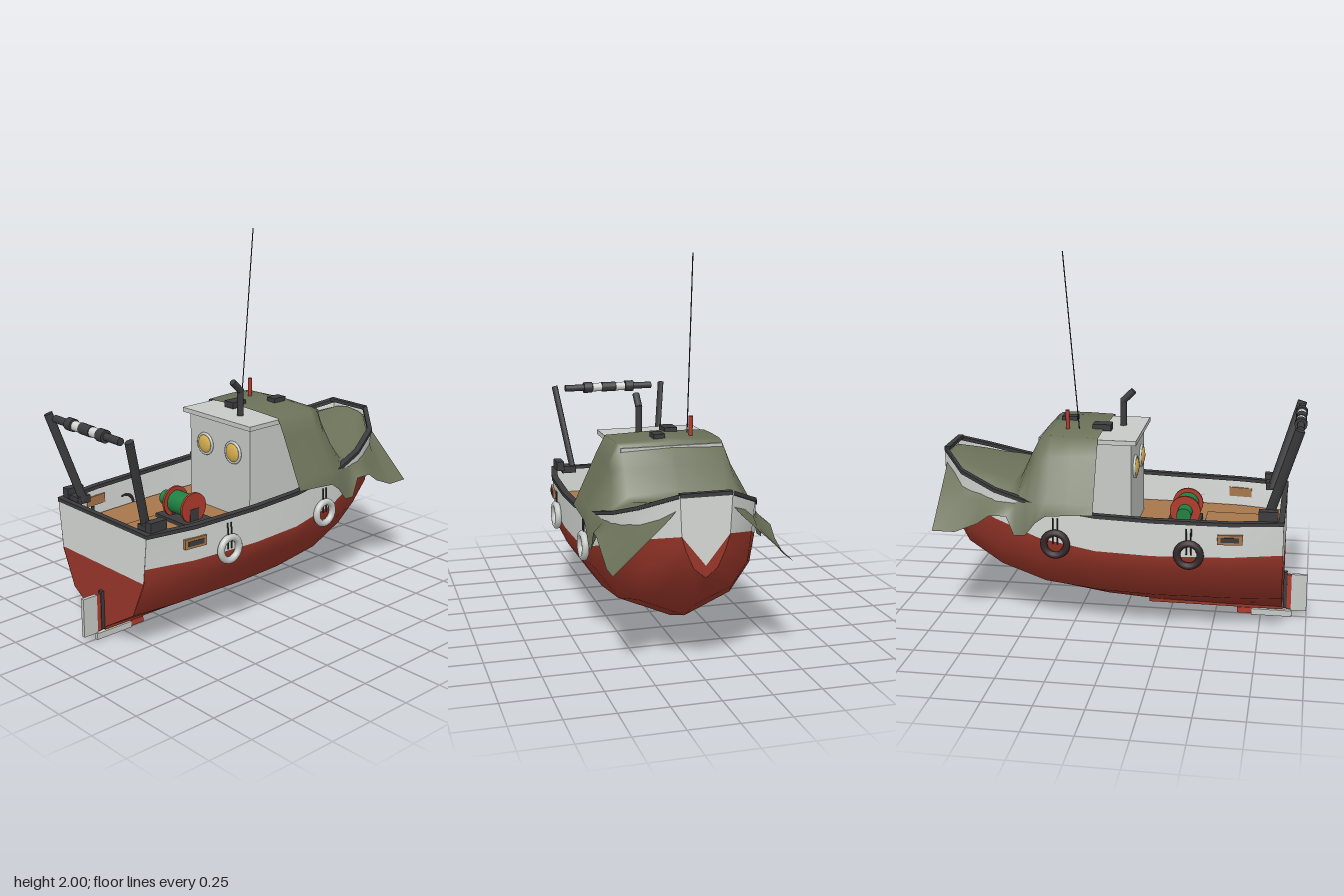
import * as THREE from 'three';
import { toCreasedNormals } from 'three/addons/utils/BufferGeometryUtils.js';

const mat = (name, color, side = THREE.FrontSide) => {
  const m = new THREE.MeshStandardMaterial({ color, side });
  m.name = name;
  return m;
};

// Stations from stern to bow: z, then x,y of sheer, waterline, chine, bilge, then keel y
const STATIONS = [
  [0.87, 0.37, 0.66, 0.35, 0.48, 0.34, 0.39, 0.25, 0.2, 0.05],
  [0.6, 0.42, 0.66, 0.412, 0.475, 0.4, 0.385, 0.28, 0.2, 0.05],
  [0.2, 0.44, 0.665, 0.435, 0.47, 0.425, 0.385, 0.295, 0.2, 0.055],
  [-0.1, 0.44, 0.675, 0.435, 0.48, 0.42, 0.39, 0.295, 0.21, 0.075],
  [-0.4, 0.425, 0.71, 0.42, 0.53, 0.4, 0.41, 0.28, 0.24, 0.12],
  [-0.65, 0.375, 0.77, 0.37, 0.61, 0.345, 0.46, 0.24, 0.31, 0.205],
  [-0.85, 0.295, 0.84, 0.28, 0.68, 0.26, 0.53, 0.18, 0.41, 0.335],
  [-0.99, 0.13, 0.92, 0.12, 0.72, 0.1, 0.65, 0.06, 0.56, 0.51],
];

// Canvas sections: z, then x,y from the centre line out to the hanging edge
const CANVAS = [
  [-0.11, 0, 1.055, 0.275, 1.045, 0.32, 0.96, 0.43, 0.72, 0.45, 0.68],
  [-0.25, 0, 1.065, 0.275, 1.05, 0.32, 0.95, 0.435, 0.73, 0.45, 0.67],
  [-0.36, 0, 1.065, 0.275, 1.05, 0.32, 0.94, 0.435, 0.73, 0.45, 0.66],
  [-0.415, 0, 1.055, 0.27, 1.045, 0.32, 0.92, 0.43, 0.72, 0.45, 0.62],
  [-0.47, 0, 0.95, 0.26, 0.94, 0.33, 0.84, 0.425, 0.71, 0.45, 0.55],
  [-0.53, 0, 0.825, 0.26, 0.81, 0.35, 0.745, 0.41, 0.7, 0.452, 0.55],
  [-0.57, 0, 0.8, 0.25, 0.79, 0.35, 0.74, 0.4, 0.7, 0.448, 0.65],
  [-0.66, 0, 0.815, 0.22, 0.81, 0.34, 0.755, 0.38, 0.7, 0.452, 0.65],
  [-0.73, 0, 0.83, 0.2, 0.82, 0.31, 0.775, 0.355, 0.7, 0.448, 0.6],
  [-0.85, 0, 0.86, 0.16, 0.85, 0.26, 0.815, 0.31, 0.7, 0.45, 0.55],
  [-0.975, 0, 0.895, 0.08, 0.885, 0.12, 0.87, 0.18, 0.8, 0.45, 0.55],
];

// Skin between rows of [x, y, z] points
function loft(rows) {
  const n = rows[0].length, index = [];
  for (let i = 0; i < rows.length - 1; i++)
    for (let j = 0; j < n - 1; j++) {
      const a = i * n + j, c = a + n;
      index.push(a, a + 1, c, a + 1, c + 1, c);
    }
  const g = new THREE.BufferGeometry();
  g.setAttribute('position', new THREE.Float32BufferAttribute(rows.flat(2), 3));
  g.setIndex(index);
  g.computeVertexNormals();
  return g;
}

export function createModel() {
  const boat = new THREE.Group();
  boat.name = 'fishingBoat';
  const D = THREE.DoubleSide;
  const white = mat('hullWhite', 0xd6d9d5, D), red = mat('hullRed', 0x993629, D);
  const dark = mat('darkMetal', 0x3b3b3d), canvasMat = mat('oliveCanvas', 0x6b7259, D);
  const wood = mat('deckWood', 0xa8774c, D), grey = mat('cabinGrey', 0xc6cac6);
  const green = mat('winchGreen', 0x208040), gold = mat('windowGold', 0xd8b050);
  const bright = mat('brightRed', 0xb03a2c), rubber = mat('tyreRubber', 0x33262a);

  const add = (name, geo, m, x = 0, y = 0, z = 0) => {
    const mesh = new THREE.Mesh(geo, m);
    mesh.name = name;
    mesh.position.set(x, y, z);
    boat.add(mesh);
    return mesh;
  };
  const box = (name, m, w, h, d, x, y, z) => add(name, new THREE.BoxGeometry(w, h, d), m, x, y, z);
  const rod = (name, m, a, b, r, sides = 12) => {
    const p = new THREE.Vector3(...a), q = new THREE.Vector3(...b);
    const mesh = add(name, new THREE.CylinderGeometry(r, r, p.distanceTo(q), sides), m);
    mesh.position.copy(p).lerp(q, 0.5);
    mesh.quaternion.setFromUnitVectors(new THREE.Vector3(0, 1, 0), q.sub(p).normalize());
    return mesh;
  };
  // Flat plate from a half outline, mirrored across x = 0
  const plate = (name, half, m, z) => {
    const pts = [...half, ...half.map(([x, y]) => [-x, y]).reverse()];
    return add(name, new THREE.ShapeGeometry(new THREE.Shape(pts.map(p => new THREE.Vector2(...p)))), m, 0, 0, z);
  };

  // Hull: red bottom in one skin, white topsides and dark rail on each side
  add('hullBottom', loft(STATIONS.map(([z, , , wx, wy, cx, cy, bx, by, k]) => [
    [wx, wy, z], [cx, cy, z], [bx, by, z], [0, k, z], [-bx, by, z], [-cx, cy, z], [-wx, wy, z]])), red);
  for (const s of [1, -1]) {
    const side = s > 0 ? 'left' : 'right';
    const rows = f => STATIONS.map(st => {
      const r = f(st).map(([x, y]) => [s * x, y, st[0]]);
      return s > 0 ? r : r.reverse();
    });
    add(side + 'Topside', loft(rows(([, sx, sy, wx, wy]) => [[sx, sy], [wx, wy]])), white);
    add(side + 'Rail', toCreasedNormals(loft(rows(([, x, y]) => [
      [x - 0.03, y + 0.006], [x + 0.006, y + 0.006], [x + 0.006, y - 0.014],
      [x - 0.03, y - 0.014], [x - 0.03, y + 0.006]])), 0.6), dark);
  }
  plate('transomTop', [[0.37, 0.66], [0.34, 0.4]], white, 0.87);
  plate('transomBottom', [[0.34, 0.4], [0.25, 0.2], [0, 0.05]], red, 0.87);
  plate('bowTop', [[0.13, 0.92], [0.12, 0.72], [0, 0.57]], white, -0.99);
  plate('bowBottom', [[0, 0.57], [0.12, 0.72], [0.1, 0.65], [0.06, 0.56], [0, 0.51]], red, -0.99);
  box('sternRail', dark, 0.74, 0.02, 0.03, 0, 0.656, 0.858);
  box('bowRail', dark, 0.26, 0.02, 0.03, 0, 0.916, -0.976);

  // Deck and hatch
  add('deck', loft(STATIONS.slice(0, 5).map(([z, , , w]) => [[-w + 0.012, 0.5, z], [w - 0.012, 0.5, z]])), wood);
  box('hatchFrame', dark, 0.306, 0.012, 0.306, 0.03, 0.502, 0.58);
  box('hatch', wood, 0.296, 0.03, 0.296, 0.03, 0.51, 0.58);

  // Keel, skeg and rudder
  box('keelStrip', red, 0.024, 0.02, 0.74, 0, 0.052, 0.5);
  box('skegFront', bright, 0.024, 0.032, 0.08, 0, 0.024, 0.66);
  box('skeg', grey, 0.024, 0.034, 0.22, 0, 0.017, 0.81);
  box('rudderPost', dark, 0.026, 0.21, 0.02, 0, 0.155, 0.882);
  box('rudderRoot', bright, 0.018, 0.2, 0.025, 0, 0.145, 0.903);
  box('rudder', grey, 0.02, 0.21, 0.085, 0, 0.143, 0.9575);

  // Cabin with round windows
  box('cabin', grey, 0.48, 0.53, 0.47, 0, 0.755, -0.175);
  box('cabinRoof', grey, 0.54, 0.025, 0.52, 0, 1.023, -0.17);
  for (const x of [-0.112, 0.112]) {
    add('windowRim', new THREE.TorusGeometry(0.056, 0.008, 8, 32), grey, x, 0.855, 0.065);
    const glass = add('windowGlass', new THREE.SphereGeometry(0.055, 24, 12), gold, x, 0.855, 0.062);
    glass.scale.z = 0.4;
  }

  // Canvas draped over cabin and foredeck
  add('canvas', loft(CANVAS.map(([z, ...c]) => {
    const half = [0, 1, 2, 3, 4].map(i => [c[2 * i], c[2 * i + 1], z]);
    return [...half.slice(1).reverse().map(([x, y]) => [-x, y, z]), ...half];
  })), canvasMat);

  // Roof fittings
  box('roofBox', dark, 0.06, 0.03, 0.085, 0.048, 1.07, -0.32);
  box('roofBoxFront', dark, 0.07, 0.035, 0.1, -0.07, 1.06, -0.12);
  rod('roofLight', bright, [-0.14, 1.05, -0.298], [-0.14, 1.16, -0.298], 0.011);
  rod('antenna', dark, [-0.14, 1.06, -0.235], [-0.14, 2, -0.315], 0.003, 6);
  rod('exhaustPipe', dark, [0.068, 1.03, -0.03], [0.068, 1.18, -0.03], 0.018);
  rod('exhaustBend', dark, [0.068, 1.17, -0.034], [0.068, 1.23, 0.027], 0.019);

  // Winch on its bed plate
  box('winchBed', dark, 0.26, 0.03, 0.18, 0, 0.515, 0.32);
  rod('winchDrum', green, [-0.055, 0.6, 0.33], [0.085, 0.6, 0.33], 0.062, 24);
  rod('winchHead', green, [-0.145, 0.6, 0.33], [-0.06, 0.6, 0.33], 0.04, 20);
  for (const x of [-0.058, 0.09]) {
    rod('winchFlange', bright, [x - 0.007, 0.6, 0.33], [x + 0.007, 0.6, 0.33], 0.084, 24);
    box('winchFoot', dark, 0.02, 0.09, 0.06, x, 0.55, 0.33);
  }

  // Stern gallows: raked posts, feet and roller
  for (const s of [1, -1]) {
    const post = rod('gallowsPost', dark, [s * 0.26, 0.655, 0.785], [s * 0.335, 1.145, 0.935], 0.026, 8);
    post.scale.x = 0.7;
    box('gallowsFoot', dark, 0.08, 0.04, 0.08, s * 0.29, 0.665, 0.79);
    box('sternCleat', dark, 0.045, 0.055, 0.1, s * 0.345, 0.69, 0.79);
  }
  rod('rollerBar', dark, [-0.27, 1.13, 0.935], [0.27, 1.13, 0.935], 0.02, 16);
  for (const s of [1, -1]) {
    rod('rollerBand', white, [s * 0.045, 1.13, 0.935], [s * 0.1, 1.13, 0.935], 0.026, 16);
    rod('rollerRing', dark, [s * 0.105, 1.13, 0.935], [s * 0.155, 1.13, 0.935], 0.033, 16);
  }
  rod('rollerHub', dark, [-0.042, 1.13, 0.935], [0.042, 1.13, 0.935], 0.029, 16);
  rod('deckPin', dark, [-0.33, 0.5, 0.68], [-0.33, 0.58, 0.68], 0.01);

  // Tyre fenders with ropes, and wooden scuppers on both sides
  for (const s of [1, -1]) {
    for (const [z, y] of [[0.39, 0.49], [-0.31, 0.51]]) {
      const tyre = add('tyreFender', new THREE.TorusGeometry(0.061, 0.019, 10, 28), s > 0 ? grey : rubber, s * 0.444, y, z);
      tyre.rotation.y = Math.PI / 2;
      for (const d of [-0.012, 0.012])
        rod('fenderRope', dark, [s * 0.444, y, z + d], [s * 0.441, y + 0.14, z + d], 0.004, 6);
    }
    const scupper = box('scupperFrame', wood, 0.02, 0.052, 0.13, s * 0.417, 0.575, 0.6);
    const slot = box('scupperSlot', dark, 0.008, 0.026, 0.095, s * 0.426, 0.575, 0.6);
    scupper.rotation.y = slot.rotation.y = -s * 0.1;
  }
  return boat;
}
